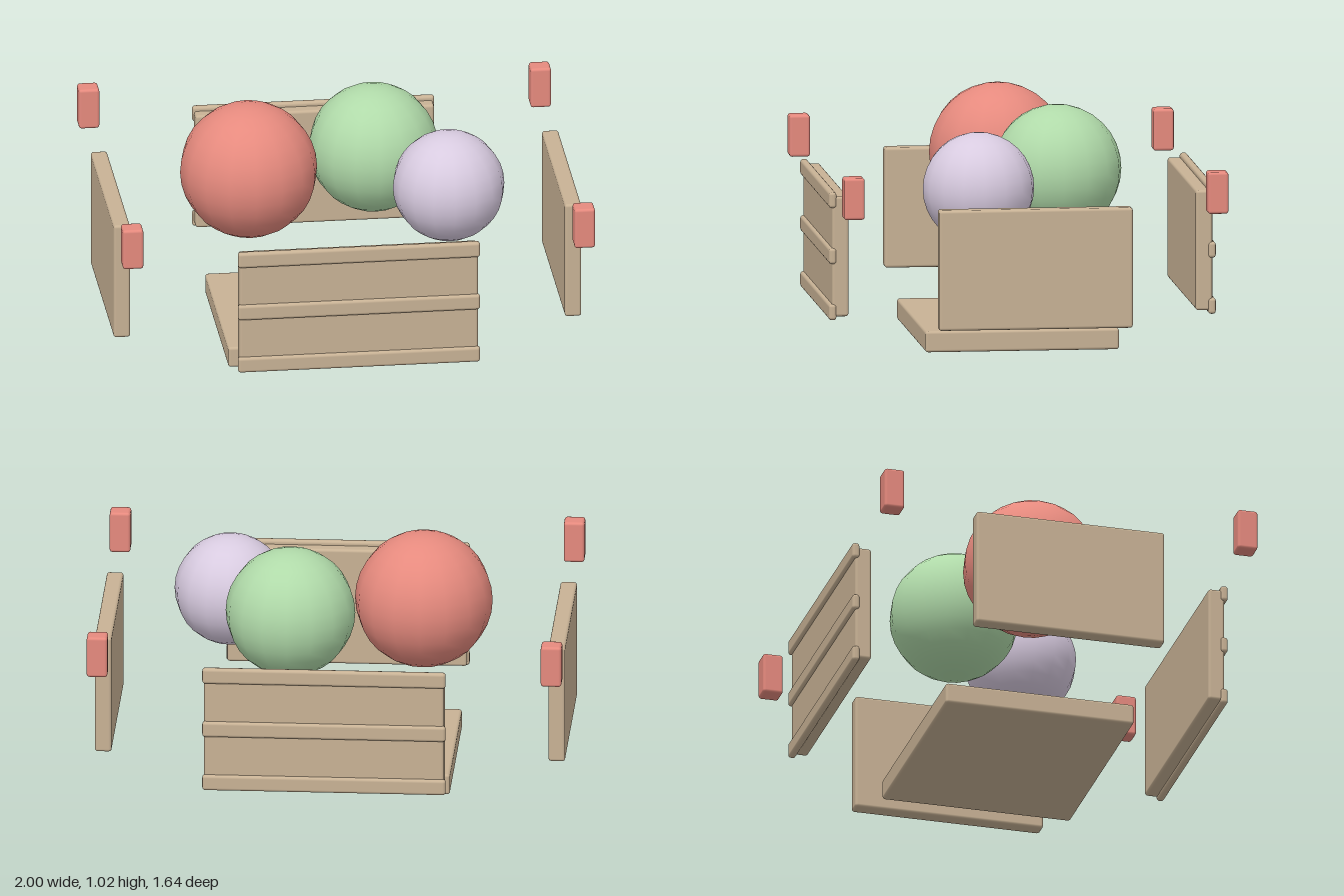
import * as THREE from 'three';
import { RoundedBoxGeometry } from 'three/addons/geometries/RoundedBoxGeometry.js';

const material = (color) => new THREE.MeshStandardMaterial({ color });

export function createModel() {
  const model = new THREE.Group();
  const wood = material(0xc8b295);
  const red = material(0xe68a7e);

  function add(name, geometry, mat, x, y, z, parent = model) {
    const mesh = new THREE.Mesh(geometry, mat);
    mesh.name = name;
    mesh.position.set(x, y, z);
    parent.add(mesh);
    return mesh;
  }
  const block = (w, h, d, r) => new RoundedBoxGeometry(w, h, d, 2, r);

  // Floor of the exploded crate
  add('base', block(1.01, 0.09, 0.82, 0.012), wood, 0, 0.047, 0);

  // Plain end panels
  const endPanel = block(0.07, 0.51, 0.82, 0.012);
  for (const s of [1, -1]) {
    add(s > 0 ? 'leftPanel' : 'rightPanel', endPanel, wood, s * 0.955, 0.416, 0);
  }

  // Front and back panels, each with three slats on the outside
  const widePanel = block(1.01, 0.51, 0.07, 0.012);
  const slat = block(1.025, 0.068, 0.032, 0.013);
  for (const s of [1, -1]) {
    const side = new THREE.Group();
    side.name = s > 0 ? 'frontSide' : 'backSide';
    add('panel', widePanel, wood, 0, 0.416, s * 0.77, side);
    for (const y of [0.18, 0.418, 0.656]) {
      add('slat', slat, wood, 0, y, s * 0.803, side);
    }
    model.add(side);
  }

  // Corner blocks
  const corner = block(0.087, 0.177, 0.087, 0.012);
  for (const x of [1, -1]) {
    for (const z of [1, -1]) {
      add('cornerBlock', corner, red, x * 0.956, 0.728, z * 0.77);
    }
  }

  // Balls
  const balls = [
    ['redBall', 0.29, red, -0.37, 0.73, 0],
    ['greenBall', 0.273, material(0xb0daa9), 0.18, 0.727, -0.185],
    ['lilacBall', 0.236, material(0xd8cbe0), 0.455, 0.69, 0.18],
  ];
  for (const [name, r, mat, x, y, z] of balls) {
    add(name, new THREE.SphereGeometry(r, 16, 16), mat, x, y, z);
  }

  return model;
}
